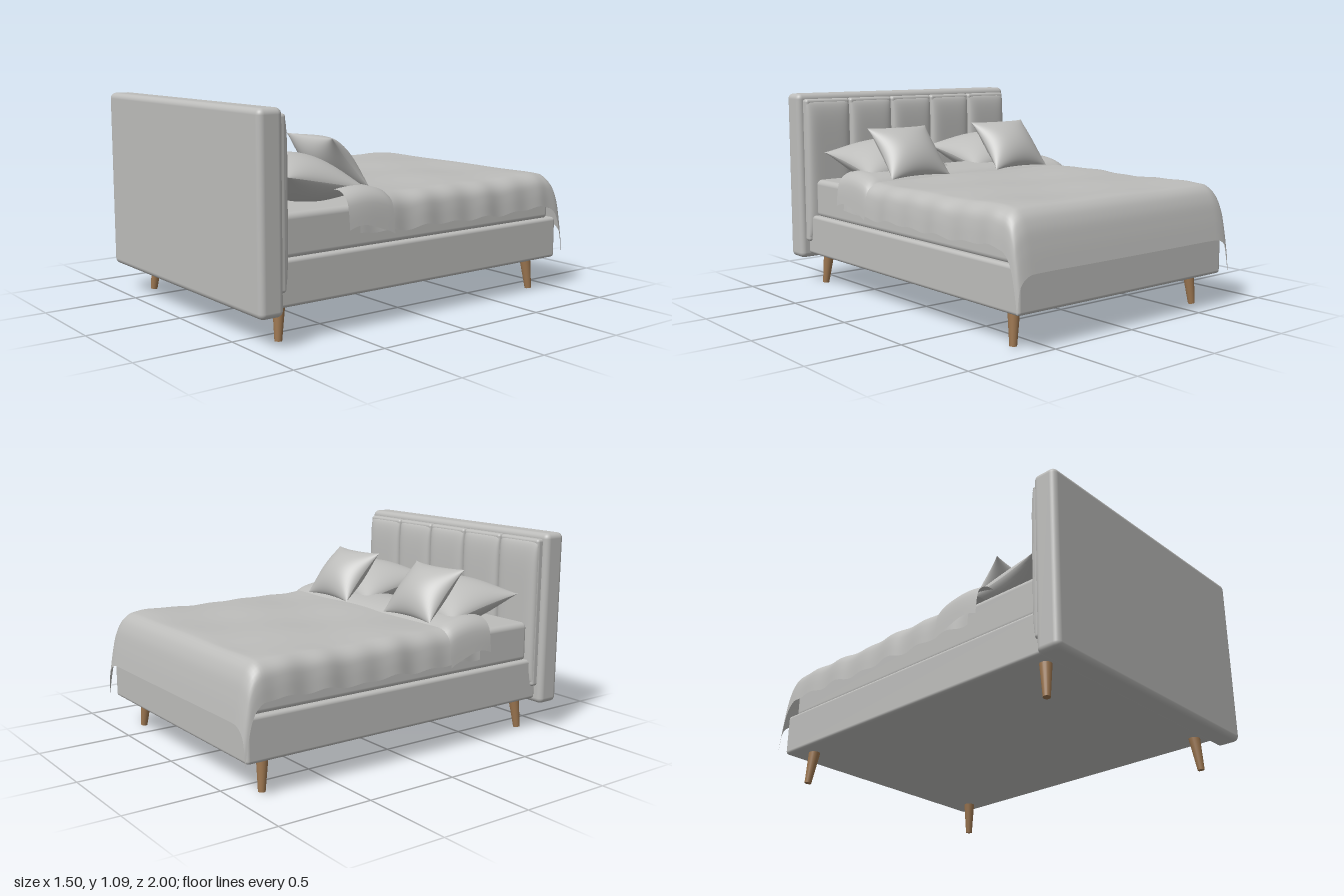
import * as THREE from 'three';
import { mergeGeometries } from 'three/addons/utils/BufferGeometryUtils.js';
import { RoundedBoxGeometry } from 'three/addons/geometries/RoundedBoxGeometry.js';

const fabric = new THREE.MeshStandardMaterial({ color: 0xbcbcba, side: THREE.DoubleSide });
fabric.name = 'greyFabric';
const wood = new THREE.MeshStandardMaterial({ color: 0x9c7650 });
wood.name = 'brownWood';

function add(parent, name, geometry, material, x = 0, y = 0, z = 0) {
  const mesh = new THREE.Mesh(geometry, material);
  mesh.name = name;
  mesh.position.set(x, y, z);
  parent.add(mesh);
  return mesh;
}

// Rounded box given by its limits on each axis
function block(parent, name, [x0, x1], [y0, y1], [z0, z1], r) {
  const g = new RoundedBoxGeometry(x1 - x0, y1 - y0, z1 - z0, 4, r);
  return add(parent, name, g, fabric, (x0 + x1) / 2, (y0 + y1) / 2, (z0 + z1) / 2);
}

// Grid sheet whose vertices follow rule(u, v) with u, v from -1 to 1
function sheet(nu, nv, rule) {
  const g = new THREE.PlaneGeometry(2, 2, nu, nv);
  const p = g.attributes.position;
  for (let i = 0; i < p.count; i++) p.setXYZ(i, ...rule(p.getX(i), p.getY(i)));
  g.computeVertexNormals();
  return g;
}

// One bulging face; pinch draws the edge middles inward, k sets edge steepness
function puff(w, h, t, pinch, k, power = 2) {
  return sheet(28, 28, (a, b) => {
    const u = Math.sin(a * Math.PI / 2), v = Math.sin(b * Math.PI / 2);
    const f = Math.max(0, 1 - Math.abs(u) ** power) * Math.max(0, 1 - Math.abs(v) ** power);
    return [u * w / 2 * (1 - pinch * (1 - v * v)), v * h / 2 * (1 - pinch * (1 - u * u)), t * f ** k];
  });
}

function cushion(w, h, t, pinch, k) {
  const front = puff(w, h, t, pinch, k);
  return mergeGeometries([front, front.clone().rotateY(Math.PI)]);
}

const curve = (pts) => new THREE.SplineCurve(pts.map(([a, b]) => new THREE.Vector2(a, b)));

export function createModel() {
  const bed = new THREE.Group();
  bed.name = 'bed';

  // Headboard with five padded channels facing the mattress
  block(bed, 'headboard', [-0.75, 0.75], [0.15, 1.09], [0.87, 1], 0.03);
  const w = 0.288;
  for (let i = 0; i < 5; i++) {
    const x = (i - 2) * w;
    block(bed, 'channelBase', [x - w / 2 + 0.002, x + w / 2 - 0.002], [0.25, 1.06], [0.835, 0.885], 0.016);
    const pad = add(bed, 'channelPad', puff(w - 0.008, 0.79, 0.035, 0, 0.5, 6), fabric, x, 0.655, 0.845);
    pad.rotation.y = Math.PI;
  }

  // Base and mattress
  block(bed, 'bedBase', [-0.7, 0.7], [0.175, 0.4], [-0.972, 0.88], 0.018);
  block(bed, 'mattress', [-0.675, 0.675], [0.39, 0.605], [-0.94, 0.83], 0.03);

  // Splayed tapered legs
  for (const sx of [-1, 1]) {
    for (const [zTop, zBottom] of [[0.81, 0.826], [-0.833, -0.849]]) {
      const top = new THREE.Vector3(sx * 0.606, 0.185, zTop);
      const foot = new THREE.Vector3(sx * 0.623, 0.002, zBottom);
      const dir = top.clone().sub(foot);
      const leg = add(bed, 'leg', new THREE.CylinderGeometry(0.031, 0.018, dir.length(), 20), wood);
      leg.position.copy(top).add(foot).multiplyScalar(0.5);
      leg.quaternion.setFromUnitVectors(new THREE.Vector3(0, 1, 0), dir.normalize());
    }
  }

  // Blanket: side and foot drops add up, so the corners hang lowest
  const side = curve([[0, 0], [0.3, 0], [0.6, 0], [0.665, 0.01], [0.705, 0.045], [0.72, 0.1], [0.728, 0.18]]);
  const foot = curve([[0.43, 0], [0, 0], [-0.5, 0], [-0.84, 0], [-0.915, 0.02], [-0.955, 0.08], [-0.978, 0.17], [-0.998, 0.285]]);
  const sidePts = side.getSpacedPoints(400), footPts = foot.getSpacedPoints(400);
  const at = (pts, t) => pts[Math.round(THREE.MathUtils.clamp(t, 0, 1) * 400)];
  add(bed, 'blanket', sheet(100, 100, (u, v) => {
    const s = at(sidePts, Math.abs(u)), f = at(footPts, (v + 1) / 2);
    const sx = Math.sign(u), z = f.x;
    const hang = THREE.MathUtils.smoothstep(Math.abs(u), 0.68, 0.95);
    const calm = 1 - THREE.MathUtils.smoothstep(-z, 0.8, 0.95);
    const wave = Math.sin(z * 30 + sx) + 0.6 * Math.sin(z * 17 + 2 * sx);
    const ripple = 0.003 * (Math.sin(s.x * sx * 9 + z * 5) + Math.sin(z * 11 - s.x * sx * 4));
    return [
      sx * (s.x + 0.004 * wave * hang * calm),
      0.648 - s.y - f.y + (ripple + 0.007 * wave * hang) * calm,
      z,
    ];
  }), fabric);

  // Turned-back top of the blanket
  add(bed, 'blanketFold', sheet(80, 20, (u, v) => {
    const s = at(sidePts, Math.abs(u)), t = (v + 1) / 2;
    const lift = 0.662 + 0.03 * Math.sin(Math.PI * (1 - t) * 0.8) - 0.015 * t ** 12;
    const hem = THREE.MathUtils.smoothstep(s.y, 0.05, 0.18);
    return [
      Math.sign(u) * (s.x + 0.008),
      lift - s.y + hem * (0.012 * Math.sin(t * 5 + 0.5) - 0.006),
      0.495 - 0.275 * t,
    ];
  }), fabric);

  // A sleeping pillow and a leaning scatter cushion on each side
  for (const x of [-0.36, 0.36]) {
    const pillow = add(bed, 'pillow', cushion(0.56, 0.48, 0.12, 0.07, 0.6), fabric, x, 0.715, 0.545);
    pillow.rotation.x = -1.77;
    const scatter = add(bed, 'scatterCushion', cushion(0.385, 0.35, 0.09, 0.09, 0.6), fabric, x, 0.782, 0.345);
    scatter.rotation.x = 0.735;
  }
  return bed;
}
